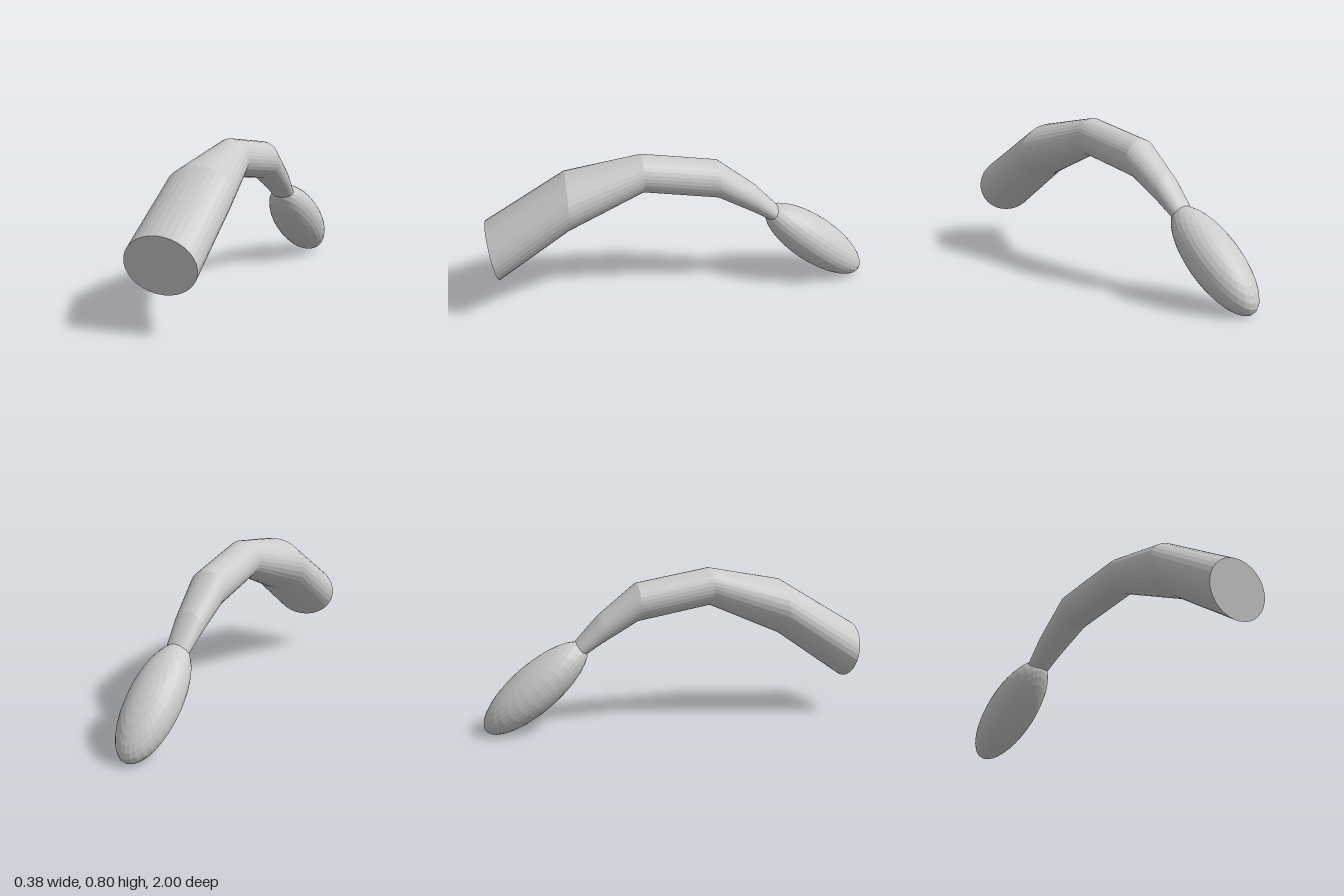
import * as THREE from 'three';

const SIDES = 32;

// Cross-sections from front to back: [top z, top y, bottom z, bottom y, half width]
const SECTIONS = [
  [1.0, 0.47, 0.94, 0.183, 0.188],
  [0.58, 0.727, 0.58, 0.437, 0.18],
  [0.19, 0.805, 0.19, 0.61, 0.1],
  [-0.2, 0.742, -0.2, 0.545, 0.1],
  [-0.4, 0.585, -0.4, 0.432, 0.077],
  [-0.53, 0.447, -0.475, 0.385, 0.062],
];

// Closed tube lofted through elliptical cross-sections
function loft(sections) {
  const positions = [];
  const index = [];
  for (const [tz, ty, bz, by, halfWidth] of sections) {
    for (let j = 0; j < SIDES; j++) {
      const a = (j / SIDES) * Math.PI * 2;
      const s = Math.sin(a) / 2;
      positions.push(
        halfWidth * Math.cos(a),
        (ty + by) / 2 + (ty - by) * s,
        (tz + bz) / 2 + (tz - bz) * s,
      );
    }
  }
  const last = sections.length - 1;
  for (let i = 0; i < last; i++) {
    for (let j = 0; j < SIDES; j++) {
      const a = i * SIDES + j;
      const b = i * SIDES + ((j + 1) % SIDES);
      const c = a + SIDES;
      const d = b + SIDES;
      index.push(a, c, b, b, c, d);
    }
  }
  // Flat caps at both ends
  for (let j = 1; j < SIDES - 1; j++) {
    const e = last * SIDES;
    index.push(0, j, j + 1, e, e + j + 1, e + j);
  }
  const geometry = new THREE.BufferGeometry();
  geometry.setAttribute('position', new THREE.Float32BufferAttribute(positions, 3));
  geometry.setIndex(index);
  geometry.computeVertexNormals();
  return geometry;
}

export function createModel() {
  const group = new THREE.Group();
  group.name = 'bentStalk';
  const material = new THREE.MeshStandardMaterial({ color: 0xcccccc, flatShading: true });

  // Bent, tapering stalk
  const stalk = new THREE.Mesh(loft(SECTIONS), material);
  stalk.name = 'stalk';
  group.add(stalk);

  // Egg-shaped tip hanging from the thin end
  const tip = new THREE.Mesh(new THREE.SphereGeometry(1, 32, 16), material);
  tip.name = 'tip';
  tip.scale.set(0.138, 0.12, 0.332);
  tip.rotation.x = THREE.MathUtils.degToRad(-38.5);
  tip.position.set(0, 0.229, -0.73);
  group.add(tip);

  return group;
}
